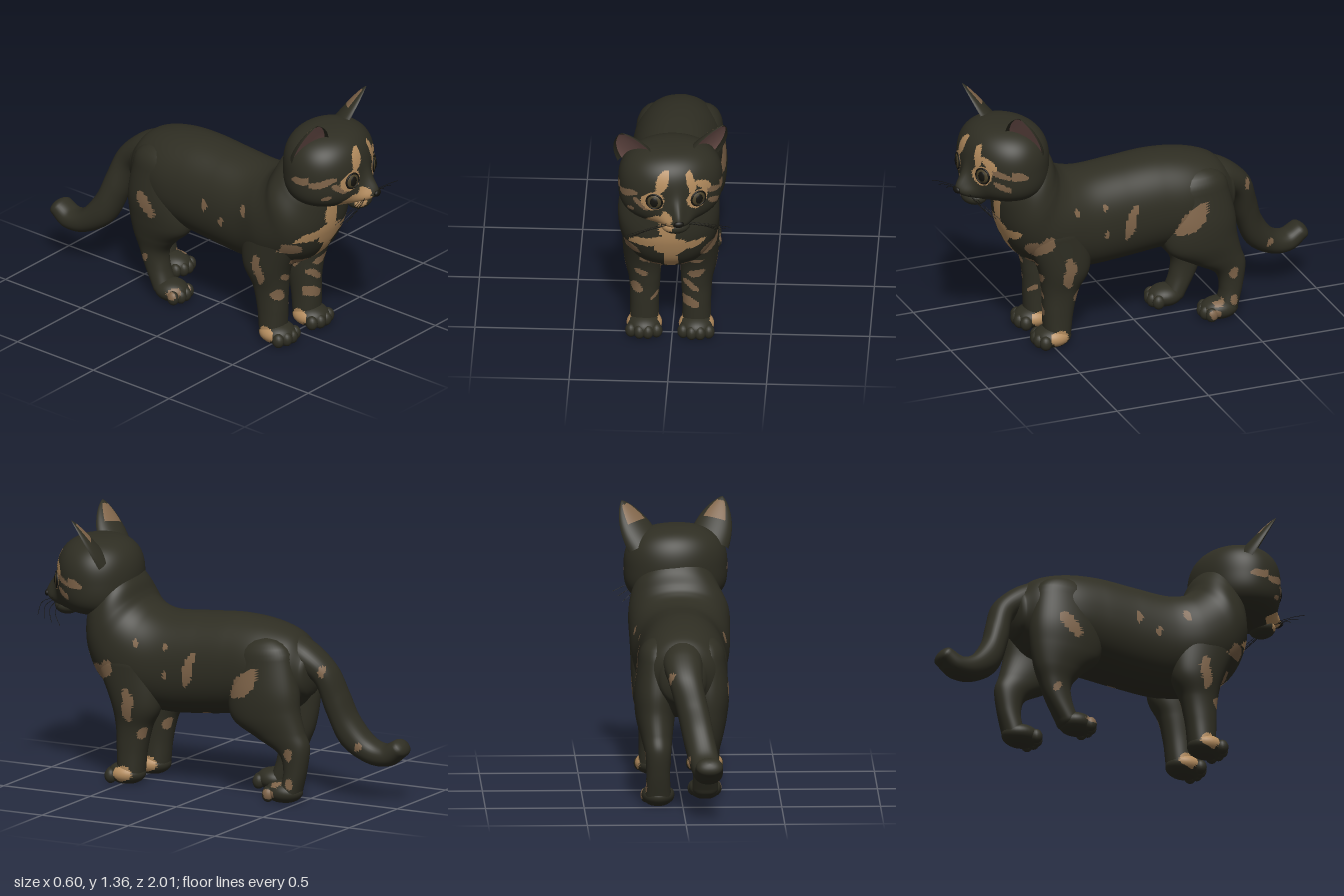
import * as THREE from 'three';

const mat = (name, color) => Object.assign(new THREE.MeshStandardMaterial({ color }), { name });
const V3 = (x, y, z) => new THREE.Vector3(x, y, z);

// Closed tube of points: rows travel along the part, columns go round it
function grid(rows, cols, fn, flip = false) {
  const pos = [], idx = [];
  for (let i = 0; i <= rows; i++)
    for (let j = 0; j < cols; j++) pos.push(...fn(i, (j / cols) * Math.PI * 2).toArray());
  for (let i = 0; i < rows; i++)
    for (let j = 0; j < cols; j++) {
      const a = i * cols + j, b = i * cols + (j + 1) % cols, c = a + cols, d = b + cols;
      idx.push(...(flip ? [a, d, b, a, c, d] : [a, b, d, a, d, c]));
    }
  const g = new THREE.BufferGeometry();
  g.setAttribute('position', new THREE.Float32BufferAttribute(pos, 3));
  g.setIndex(idx);
  g.computeVertexNormals();
  return g;
}

// Section = [z, y of one edge, z, y of the opposite edge, centre x, half width]; ends are rounded
function loft(sections, rows, cols, cap = 0.7) {
  const curve = f => new THREE.CatmullRomCurve3(sections.map(f), false, 'catmullrom');
  const A = curve(s => V3(s[4], s[1], s[0])), B = curve(s => V3(s[4], s[3], s[2])), R = curve(s => V3(s[5], 0, 0));
  const K = 6;
  return grid(rows + 2 * K, cols, (i, th) => {
    const t = Math.min(1, Math.max(0, (i - K) / rows));
    const over = i < K ? (i - K) / K : Math.max(0, (i - K - rows) / K);
    const a = A.getPoint(t), b = B.getPoint(t), v = a.clone().sub(b).multiplyScalar(0.5);
    const dir = V3(1, 0, 0).cross(v).normalize(), k = Math.cos(over * Math.PI / 2);
    const full = q => Math.sign(q) * Math.abs(q) ** 0.92 * k;
    return a.add(b).multiplyScalar(0.5)
      .addScaledVector(dir, Math.sin(over * Math.PI / 2) * cap * v.length())
      .addScaledVector(V3(1, 0, 0), R.getPoint(t).x * full(Math.cos(th)))
      .addScaledVector(v, full(Math.sin(th)));
  });
}

// Sort triangles into one group per material
function paint(g, rule) {
  const p = g.attributes.position, ix = g.index.array, lists = [[], [], [], []];
  const [a, b, c] = [V3(), V3(), V3()], tri = new THREE.Triangle(a, b, c), mid = V3(), n = V3();
  for (let i = 0; i < ix.length; i += 3) {
    [a, b, c].forEach((v, k) => v.fromBufferAttribute(p, ix[i + k]));
    lists[rule(tri.getMidpoint(mid), tri.getNormal(n))].push(ix[i], ix[i + 1], ix[i + 2]);
  }
  g.setIndex(lists.flat());
  g.clearGroups();
  let start = 0;
  lists.forEach((l, k) => { if (l.length) g.addGroup(start, l.length, k); start += l.length; });
  return g;
}

// Coat patches: [u, v, radius u, radius v, degrees, colour 1 tan / 2 brown]
const facePatches = [
  [-0.077, 1.015, 0.06, 0.054, 0, 1], [0.148, 1.018, 0.052, 0.052, 0, 1], [-0.032, 1.12, 0.07, 0.026, 62, 1],
  [0.112, 1.11, 0.06, 0.022, 95, 1], [0.17, 1.085, 0.05, 0.018, -45, 1], [-0.21, 1.025, 0.055, 0.02, 15, 2],
  [-0.14, 0.985, 0.04, 0.02, -30, 2], [-0.2, 0.935, 0.02, 0.014, 0, 2], [0.22, 1.035, 0.04, 0.016, -20, 2],
  [0.225, 0.965, 0.03, 0.018, -45, 2], [-0.04, 0.885, 0.075, 0.045, 5, 1], [-0.012, 0.935, 0.028, 0.035, 0, 1]];
const chestPatches = [
  [-0.01, 0.76, 0.045, 0.1, 0, 1], [0, 0.63, 0.085, 0.06, 0, 1], [-0.12, 0.655, 0.1, 0.028, 12, 1],
  [0.09, 0.635, 0.09, 0.026, 22, 1], [0, 0.53, 0.036, 0.1, 0, 1], [-0.21, 0.585, 0.06, 0.03, -30, 2],
  [0.19, 0.57, 0.055, 0.03, 45, 2], [-0.1, 0.47, 0.07, 0.018, -15, 2], [0.11, 0.47, 0.06, 0.015, 10, 2],
  [-0.16, 0.38, 0.035, 0.02, -20, 2], [-0.18, 0.28, 0.03, 0.034, 0, 2], [-0.085, 0.23, 0.03, 0.013, 30, 2],
  [0.12, 0.385, 0.05, 0.022, 30, 2], [0.1, 0.3, 0.045, 0.02, -30, 2], [0.085, 0.2, 0.06, 0.028, -10, 2]];
const leftPatches = [
  [0.58, 0.58, 0.08, 0.035, 130, 2], [0.71, 0.64, 0.02, 0.05, 0, 1], [0.44, 0.42, 0.032, 0.09, 0, 2],
  [0.485, 0.06, 0.05, 0.04, 0, 1], [0.38, 0.28, 0.022, 0.03, 0, 2], [0.4, 0.755, 0.014, 0.02, 0, 2],
  [0.24, 0.745, 0.014, 0.022, 0, 2], [0.235, 0.6, 0.012, 0.026, 0, 2], [0.095, 0.64, 0.09, 0.028, 107, 2],
  [-0.235, 0.605, 0.11, 0.048, 137, 2], [0.05, 0.385, 0.04, 0.015, 0, 2], [-0.475, 0.26, 0.024, 0.034, 0, 2],
  [-0.4, 0.1, 0.03, 0.02, 0, 2], [-0.36, 0.05, 0.03, 0.025, 0, 2], [-0.48, 0.11, 0.02, 0.03, 0, 2],
  [-0.6, 0.68, 0.018, 0.03, 0, 2], [-0.755, 0.29, 0.02, 0.02, 0, 2], [0.76, 1.035, 0.08, 0.024, 20, 2],
  [0.81, 0.96, 0.03, 0.02, 0, 2]];
const rightPatches = [
  [-0.3, 0.55, 0.08, 0.04, 130, 2], [0.45, 0.42, 0.09, 0.03, 95, 2], [0.485, 0.06, 0.05, 0.04, 0, 1],
  [0.35, 0.72, 0.018, 0.03, 0, 2], [0.2, 0.6, 0.015, 0.03, 0, 2], [0.08, 0.66, 0.02, 0.03, 0, 2],
  [-0.35, 0.22, 0.02, 0.025, 0, 2], [-0.16, 0.06, 0.03, 0.025, 0, 2], [0.76, 1.03, 0.07, 0.022, 15, 2]];

function patchAt(list, u0, v0) {
  const u = u0 + 0.006 * Math.sin(45 * v0), v = v0 + 0.006 * Math.sin(50 * u0 + 1);
  const hit = list.find(([cu, cv, ru, rv, deg]) => {
    const r = deg * Math.PI / 180, x = u - cu, y = v - cv;
    return Math.hypot((x * Math.cos(r) + y * Math.sin(r)) / ru, (y * Math.cos(r) - x * Math.sin(r)) / rv) < 1;
  });
  return hit ? hit[5] : 0;
}
const frontPatch = list => (c, n) => {
  if (n.z > 0.35 && c.z > 0.35) return patchAt(list, c.x, c.y);
  return Math.abs(n.x) > 0.3 ? patchAt(n.x > 0 ? leftPatches : rightPatches, c.z, c.y) : 0;
};

// Head shape, about its own centre: rounded box-ball with a raised muzzle and nose bridge
const bump = (x, y, cx, cy, sx, sy) => Math.exp(-(((x - cx) / sx) ** 2) - ((y - cy) / sy) ** 2);
const muzzle = (x, y) => 0.045 * bump(x, y, 0, -0.12, 0.07, 0.06) + 0.035 * bump(x, y, 0, -0.07, 0.035, 0.07)
  + 0.03 * (bump(x, y, 0.045, -0.14, 0.04, 0.04) + bump(x, y, -0.045, -0.14, 0.04, 0.04));
const span = u => Math.max(0, 1 - Math.abs(u) ** (u > 0 ? 2.6 : 3.2)) ** (u > 0 ? 1 / 2.6 : 1 / 3.2);
const faceZ = (x, y) => 0.22 * Math.sqrt(Math.max(0, span(y / (y > 0 ? 0.21 : 0.19)) ** 2 - (x / 0.265) ** 2)) + muzzle(x, y);
const headAt = new THREE.Matrix4().makeRotationY(0.2).setPosition(0, 1.03, 0.715);

export function createModel() {
  const cat = new THREE.Group();
  cat.name = 'cat';
  const coat = [mat('darkFur', 0x2f2e23), mat('tanFur', 0xb48c5e), mat('brownFur', 0x80654a), mat('innerEar', 0x8a6660)];
  const black = mat('black', 0x15140f), iris = mat('iris', 0x4b4129);
  const add = (name, geo, material) => {
    const m = new THREE.Mesh(geo, material);
    m.name = name;
    cat.add(m);
  };
  const furry = (name, geo, list = chestPatches) => add(name, paint(geo, frontPatch(list)), coat);
  const ball = (x, y, z, rx, ry, rz, n = 20) => new THREE.SphereGeometry(1, n, n * 0.75).scale(rx, ry, rz).translate(x, y, z);

  // Body and neck, from rump to nape
  furry('body', loft([
    [-0.5, 0.78, -0.49, 0.53, 0, 0.12], [-0.42, 0.855, -0.4, 0.45, 0, 0.19], [-0.28, 0.9, -0.22, 0.42, -0.005, 0.225],
    [-0.1, 0.917, -0.08, 0.4, -0.01, 0.225], [0.1, 0.905, 0.1, 0.38, -0.01, 0.222], [0.28, 0.892, 0.3, 0.37, -0.01, 0.228],
    [0.38, 0.905, 0.5, 0.4, -0.015, 0.25], [0.43, 0.935, 0.66, 0.5, -0.015, 0.255], [0.455, 0.97, 0.73, 0.64, -0.012, 0.255],
    [0.48, 1.03, 0.745, 0.78, 0, 0.225], [0.53, 1.1, 0.73, 0.88, 0, 0.18]], 130, 104, 0.3));

  // Tail, from tip to root
  furry('tail', loft([
    [-0.92, 0.325, -0.985, 0.25, -0.12, 0.068], [-0.86, 0.3, -0.9, 0.19, -0.117, 0.072], [-0.79, 0.335, -0.78, 0.195, -0.105, 0.074],
    [-0.72, 0.44, -0.65, 0.28, -0.08, 0.078], [-0.68, 0.56, -0.58, 0.44, -0.05, 0.08], [-0.63, 0.69, -0.535, 0.6, -0.015, 0.085],
    [-0.53, 0.79, -0.44, 0.66, 0, 0.1], [-0.42, 0.85, -0.34, 0.7, 0, 0.1]], 70, 36));

  // Paw with four toes, flat underneath
  const paw = (name, x, z, rx, rz) => {
    const g = ball(x, 0.052, z, rx, 0.058, rz, 32), p = g.attributes.position;
    for (let i = 0; i < p.count; i++) p.setY(i, Math.max(0, p.getY(i)));
    furry(name, g);
    for (let k = -1.5; k <= 1.5; k++)
      furry(name + 'Toe', ball(x + k * rx * 0.48, 0.04, z + rz * (0.82 - 0.09 * k * k), rx * 0.33, 0.038, 0.032, 16));
  };

  // Front legs, from shoulder to wrist
  for (const [side, x] of [['left', 0.122], ['right', -0.142]]) {
    const o = Math.sign(x) * 0.015;
    furry(side + 'FrontLeg', loft([
      [0.66, 0.63, 0.3, 0.63, x + o, 0.1], [0.575, 0.43, 0.3, 0.42, x + o * 0.7, 0.096], [0.55, 0.3, 0.355, 0.3, x, 0.08],
      [0.545, 0.18, 0.385, 0.18, x, 0.073], [0.54, 0.06, 0.4, 0.06, x, 0.074]], 66, 50));
    paw(side + 'FrontPaw', x, 0.495, 0.09, 0.098);
  }

  // Hind legs in mid-step: left back, right forward
  furry('leftHindLeg', loft([
    [-0.14, 0.72, -0.46, 0.74, 0.12, 0.1], [-0.11, 0.55, -0.495, 0.58, 0.13, 0.11], [-0.13, 0.41, -0.505, 0.47, 0.135, 0.1],
    [-0.27, 0.32, -0.53, 0.37, 0.13, 0.08], [-0.39, 0.25, -0.555, 0.29, 0.125, 0.066], [-0.42, 0.16, -0.54, 0.17, 0.125, 0.06],
    [-0.4, 0.06, -0.51, 0.05, 0.125, 0.066]], 80, 50));
  paw('leftHindPaw', 0.125, -0.415, 0.082, 0.1);
  furry('rightHindLeg', loft([
    [-0.12, 0.72, -0.45, 0.74, -0.12, 0.1], [-0.09, 0.55, -0.475, 0.57, -0.13, 0.11], [-0.1, 0.42, -0.47, 0.45, -0.13, 0.1],
    [-0.19, 0.33, -0.45, 0.34, -0.125, 0.083], [-0.25, 0.25, -0.42, 0.26, -0.12, 0.068], [-0.245, 0.16, -0.385, 0.17, -0.12, 0.062],
    [-0.21, 0.06, -0.32, 0.05, -0.12, 0.066]], 80, 50));
  paw('rightHindPaw', -0.12, -0.22, 0.082, 0.092);

  // Head and chin
  const rows = 92;
  furry('head', grid(rows, 156, (i, th) => {
    const u = -Math.cos(i / rows * Math.PI), y = u * (u > 0 ? 0.21 : 0.19), c = Math.cos(th);
    const x = 0.265 * span(u) * Math.sin(th);
    return V3(x, y, 0.22 * span(u) * c + muzzle(x, y) * Math.min(1, Math.max(0, 3 * c)));
  }).applyMatrix4(headAt), facePatches);
  furry('chin', ball(0, -0.168, 0.175, 0.075, 0.045, 0.065, 32).applyMatrix4(headAt), facePatches);

  // Nose
  add('nose', ball(0, -0.112, faceZ(0, -0.112) - 0.004, 0.027, 0.018, 0.014).applyMatrix4(headAt), black);

  for (const s of [1, -1]) {
    const side = s > 0 ? 'left' : 'right';

    // Cupped ear, pink inside, with a patch behind
    const base = V3(s * 0.165, 0.1, -0.02), A = V3(s * 0.097, 0.228, 0.095), len = A.length();
    A.normalize();
    const W = V3(s * 0.75, -0.3, -0.5);
    W.addScaledVector(A, -W.dot(A)).normalize();
    const N = W.clone().cross(A).multiplyScalar(s);
    const width = t => 0.108 * Math.max(0, 1 - Math.max(0, t) ** 2.2) ** 0.8;
    const ear = grid(30, 44, (i, th) => {
      const t = Math.sin(i / 30 * Math.PI / 2), q = Math.sin(th), d = 0.07 * (1 - t) ** 0.7;
      return base.clone().addScaledVector(A, t * len).addScaledVector(W, width(t) * Math.cos(th))
        .addScaledVector(N, -d * (q > 0 ? q : -0.5 * q));
    }, s < 0);
    paint(ear, (c, n) => {
      const d = c.clone().sub(base), t = d.dot(A) / len, w = Math.abs(d.dot(W)) / (width(t) + 1e-6), f = n.dot(N);
      if (f > 0.1 && w < 0.84 && t < 0.93) return 3;
      return f < -0.1 && w < 0.65 && t > 0.5 && t < 0.9 ? 2 : 0;
    });
    add(side + 'Ear', ear.applyMatrix4(headAt), coat);

    // Eye: rim, iris and pupil, turned slightly outwards
    const ex = s * 0.113, ey = -0.015;
    const eyeAt = headAt.clone().multiply(new THREE.Matrix4().makeRotationY(s * 0.36).setPosition(ex, ey, faceZ(ex, ey)));
    add(side + 'EyeRim', new THREE.TorusGeometry(0.04, 0.005, 8, 36).applyMatrix4(eyeAt), black);
    add(side + 'Iris', ball(0, 0, -0.004, 0.04, 0.04, 0.016).applyMatrix4(eyeAt), iris);
    add(side + 'Pupil', ball(0, 0, 0.004, 0.024, 0.029, 0.0105).applyMatrix4(eyeAt), black);

    // Mouth line and whiskers
    const line = (name, pts, r) => add(name,
      new THREE.TubeGeometry(new THREE.CatmullRomCurve3(pts), 14, r, 5).applyMatrix4(headAt), black);
    line(side + 'Mouth', [[0, -0.128], [0.004, -0.15], [0.03, -0.163], [0.06, -0.155]]
      .map(([x, y]) => V3(s * x, y, faceZ(x, y) + 0.001)), 0.003);
    for (let k = 0; k < 4; k++) {
      const y = -0.125 - k * 0.01, z = faceZ(0.055, y);
      line(side + 'Whisker', [V3(s * 0.055, y, z - 0.005), V3(s * 0.15, y - 0.005 - k * 0.008, z + 0.02 - k * 0.012),
        V3(s * (0.27 - k * 0.02), y - 0.045 - k * 0.012, z + 0.005 - k * 0.022)], 0.0014);
    }
  }
  return cat;
}
